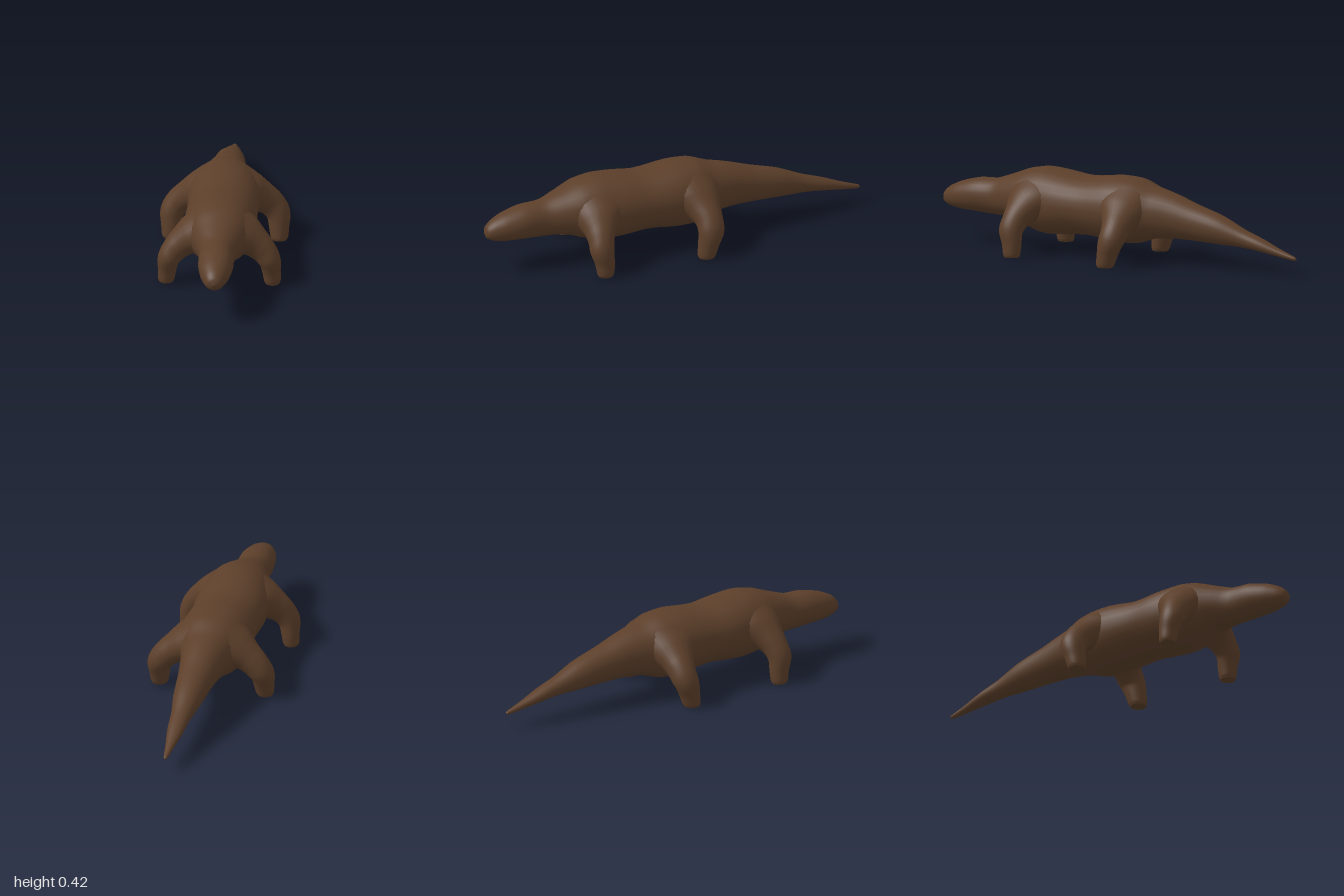
import * as THREE from 'three';

const skin = new THREE.MeshStandardMaterial({ color: 0x5c3f2a, roughness: 0.9 });
const SEGMENTS = 28;

// Smoothly interpolate rows of numbers: the first three and the next two are splined separately.
function sampleRows(rows, steps) {
  const centres = new THREE.CatmullRomCurve3(rows.map(r => new THREE.Vector3(r[0], r[1], r[2])), false, 'centripetal');
  const radii = new THREE.CatmullRomCurve3(rows.map(r => new THREE.Vector3(r[3], r[4], 0)), false, 'centripetal');
  return Array.from({ length: steps + 1 }, (_, i) => ({
    centre: centres.getPoint(i / steps),
    tangent: centres.getTangent(i / steps),
    radius: radii.getPoint(i / steps),
  }));
}

// Skin a row of rings; frame(tangent) gives the two ring axes u and v with u x v along the path.
function loft(rows, steps, frame, roundness, flatEnd) {
  const positions = [], indices = [];
  const rings = sampleRows(rows, steps);
  const shape = c => Math.sign(c) * Math.abs(c) ** roundness;
  const addRing = ({ centre, tangent, radius }) => {
    const [u, v] = frame(tangent);
    for (let j = 0; j < SEGMENTS; j++) {
      const a = (j / SEGMENTS) * Math.PI * 2;
      const p = centre.clone()
        .addScaledVector(u, Math.max(0, radius.x) * shape(Math.cos(a)))
        .addScaledVector(v, Math.max(0, radius.y) * shape(Math.sin(a)));
      positions.push(p.x, p.y, p.z);
    }
  };
  rings.forEach(addRing);
  for (let i = 0; i < steps; i++) {
    for (let j = 0; j < SEGMENTS; j++) {
      const a = i * SEGMENTS + j, b = i * SEGMENTS + (j + 1) % SEGMENTS;
      indices.push(a, b, a + SEGMENTS, b, b + SEGMENTS, a + SEGMENTS);
    }
  }
  if (flatEnd) {
    const start = positions.length / 3, last = rings[steps];
    addRing(last);
    positions.push(...last.centre.toArray());
    for (let j = 0; j < SEGMENTS; j++) indices.push(start + j, start + (j + 1) % SEGMENTS, start + SEGMENTS);
  }
  const geometry = new THREE.BufferGeometry();
  geometry.setAttribute('position', new THREE.Float32BufferAttribute(positions, 3));
  geometry.setIndex(indices);
  geometry.computeVertexNormals();
  return geometry;
}

// Body from snout to tail tip: z, underside, top, half width
const bodyProfile = [
  [1.00, 0.215, 0.215, 0],
  [0.99, 0.188, 0.245, 0.03],
  [0.96, 0.172, 0.272, 0.05],
  [0.90, 0.162, 0.300, 0.072],
  [0.80, 0.157, 0.326, 0.087],
  [0.70, 0.152, 0.332, 0.086],
  [0.60, 0.146, 0.365, 0.118],
  [0.50, 0.112, 0.402, 0.155],
  [0.40, 0.086, 0.415, 0.172],
  [0.30, 0.090, 0.406, 0.178],
  [0.17, 0.100, 0.391, 0.172],
  [0.00, 0.082, 0.408, 0.178],
  [-0.10, 0.082, 0.404, 0.168],
  [-0.20, 0.112, 0.370, 0.128],
  [-0.30, 0.124, 0.345, 0.104],
  [-0.42, 0.124, 0.305, 0.086],
  [-0.57, 0.118, 0.260, 0.070],
  [-0.70, 0.114, 0.202, 0.048],
  [-0.80, 0.102, 0.166, 0.040],
  [-0.90, 0.086, 0.125, 0.023],
  [-0.99, 0.074, 0.092, 0.009],
  [-1.00, 0.082, 0.082, 0],
];

// Legs from hip to sole: x, y, z, half depth, half thickness
const legs = {
  frontLeg: [
    [0.06, 0.275, 0.43, 0.16, 0.11],
    [0.13, 0.240, 0.435, 0.125, 0.095],
    [0.18, 0.208, 0.455, 0.085, 0.075],
    [0.22, 0.170, 0.47, 0.066, 0.063],
    [0.247, 0.125, 0.478, 0.060, 0.055],
    [0.256, 0.060, 0.468, 0.049, 0.045],
    [0.260, 0.014, 0.466, 0.043, 0.041],
    [0.260, 0.000, 0.466, 0.038, 0.035],
  ],
  hindLeg: [
    [0.06, 0.275, -0.06, 0.16, 0.11],
    [0.13, 0.240, -0.07, 0.125, 0.095],
    [0.185, 0.208, -0.09, 0.085, 0.075],
    [0.23, 0.170, -0.10, 0.068, 0.066],
    [0.259, 0.125, -0.097, 0.065, 0.060],
    [0.264, 0.060, -0.080, 0.053, 0.050],
    [0.266, 0.014, -0.070, 0.046, 0.044],
    [0.266, 0.000, -0.068, 0.040, 0.038],
  ],
};

export function createModel() {
  const model = new THREE.Group();
  model.name = 'lizard';

  const add = (name, geometry) => {
    const mesh = new THREE.Mesh(geometry, skin);
    mesh.name = name;
    model.add(mesh);
  };

  // Head, trunk and tail in one smooth skin
  const bodyAxes = [new THREE.Vector3(-1, 0, 0), new THREE.Vector3(0, 1, 0)];
  const bodyRows = bodyProfile.map(([z, low, high, w]) => [0, (low + high) / 2, z, w, (high - low) / 2]);
  add('body', loft(bodyRows, (bodyRows.length - 1) * 4, () => bodyAxes, 0.95, false));

  // Four splayed legs with flat soles
  const zAxis = new THREE.Vector3(0, 0, 1);
  const legFrame = t => {
    const flat = new THREE.Vector3(t.x, t.y, 0).normalize();
    return [zAxis, flat.cross(zAxis)];
  };
  for (const [name, rows] of Object.entries(legs)) {
    for (const side of [1, -1]) {
      const sided = rows.map(([x, ...rest]) => [x * side, ...rest]);
      add(name + (side > 0 ? 'Left' : 'Right'), loft(sided, 28, legFrame, 1, true));
    }
  }
  return model;
}
